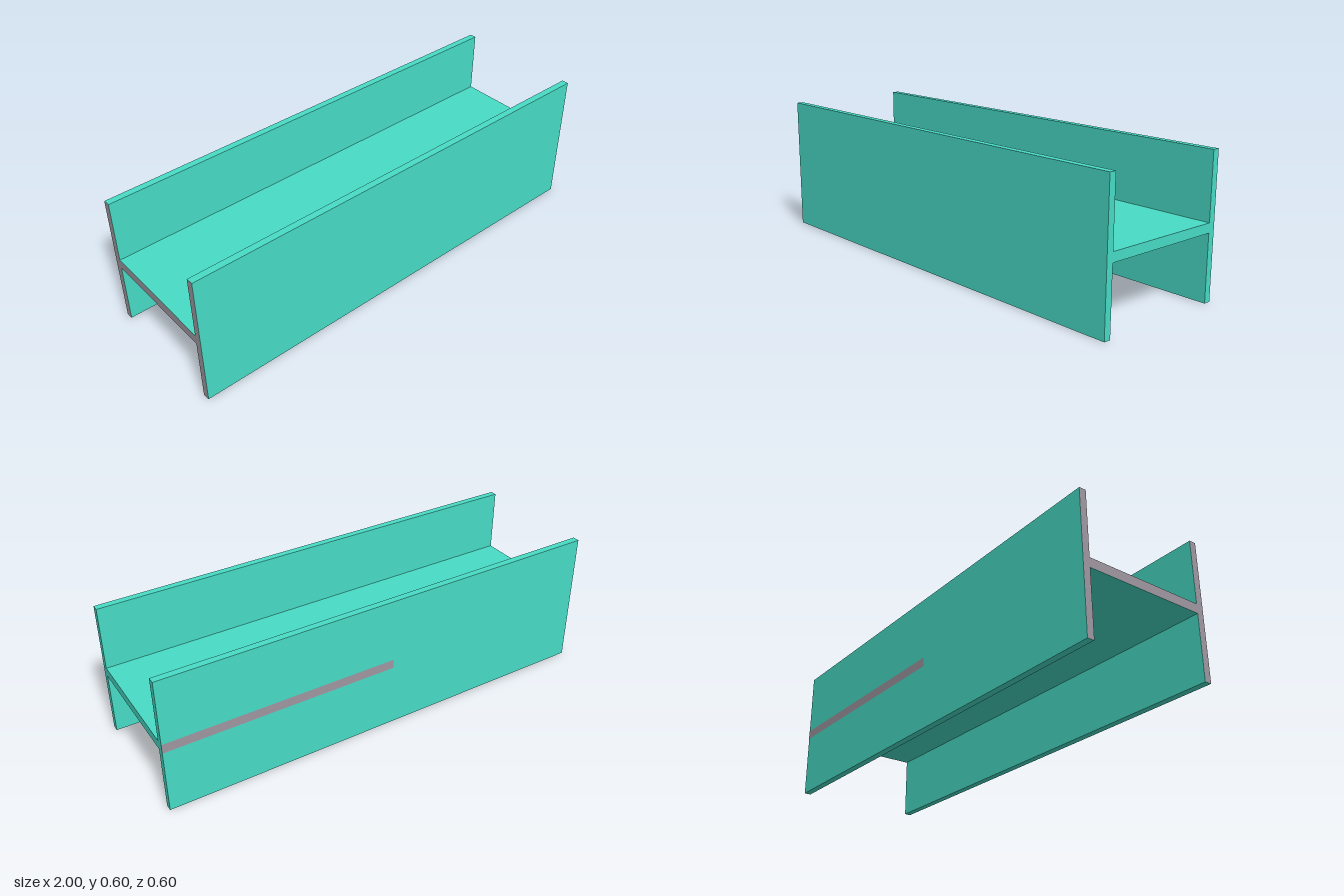
import * as THREE from 'three';

const LENGTH = 2, HALF = 0.3, FLANGE = 0.03, WEB = 0.02, SKIN = 0.001;

// H cross-section: two upright flanges joined by a level web
function sectionShape() {
  const inner = HALF - FLANGE;
  const quarter = [[HALF, HALF], [inner, HALF], [inner, WEB]];
  const mirrored = (sx, sy) => quarter.map(([x, y]) => new THREE.Vector2(x * sx, y * sy));
  return new THREE.Shape([
    ...mirrored(1, 1),
    ...mirrored(-1, 1).reverse(),
    ...mirrored(-1, -1),
    ...mirrored(1, -1).reverse(),
  ]);
}

export function createModel() {
  const group = new THREE.Group();
  group.name = 'hBeam';
  const teal = new THREE.MeshStandardMaterial({ color: 0x48dcc6 });
  const grey = new THREE.MeshStandardMaterial({ color: 0x9f96a0 });

  const add = (name, geometry, material, x, y, z) => {
    const mesh = new THREE.Mesh(geometry, material);
    mesh.name = name;
    mesh.position.set(x, y, z);
    group.add(mesh);
  };

  // Beam, extruded along x
  const shape = sectionShape();
  const beam = new THREE.ExtrudeGeometry(shape, { depth: LENGTH, bevelEnabled: false });
  beam.rotateY(Math.PI / 2);
  add('beam', beam, teal, -LENGTH / 2, HALF, 0);

  // Grey face on the right-hand end
  const endFace = new THREE.ShapeGeometry(shape).rotateY(-Math.PI / 2);
  add('endFace', endFace, grey, -LENGTH / 2 - SKIN, HALF, 0);

  // Grey stripe on the back flange, level with the web
  const stripeLength = 1.02;
  const stripe = new THREE.PlaneGeometry(stripeLength, WEB * 2).rotateY(Math.PI);
  add('backStripe', stripe, grey, LENGTH / 2 - stripeLength / 2, HALF, -HALF - SKIN);

  return group;
}
